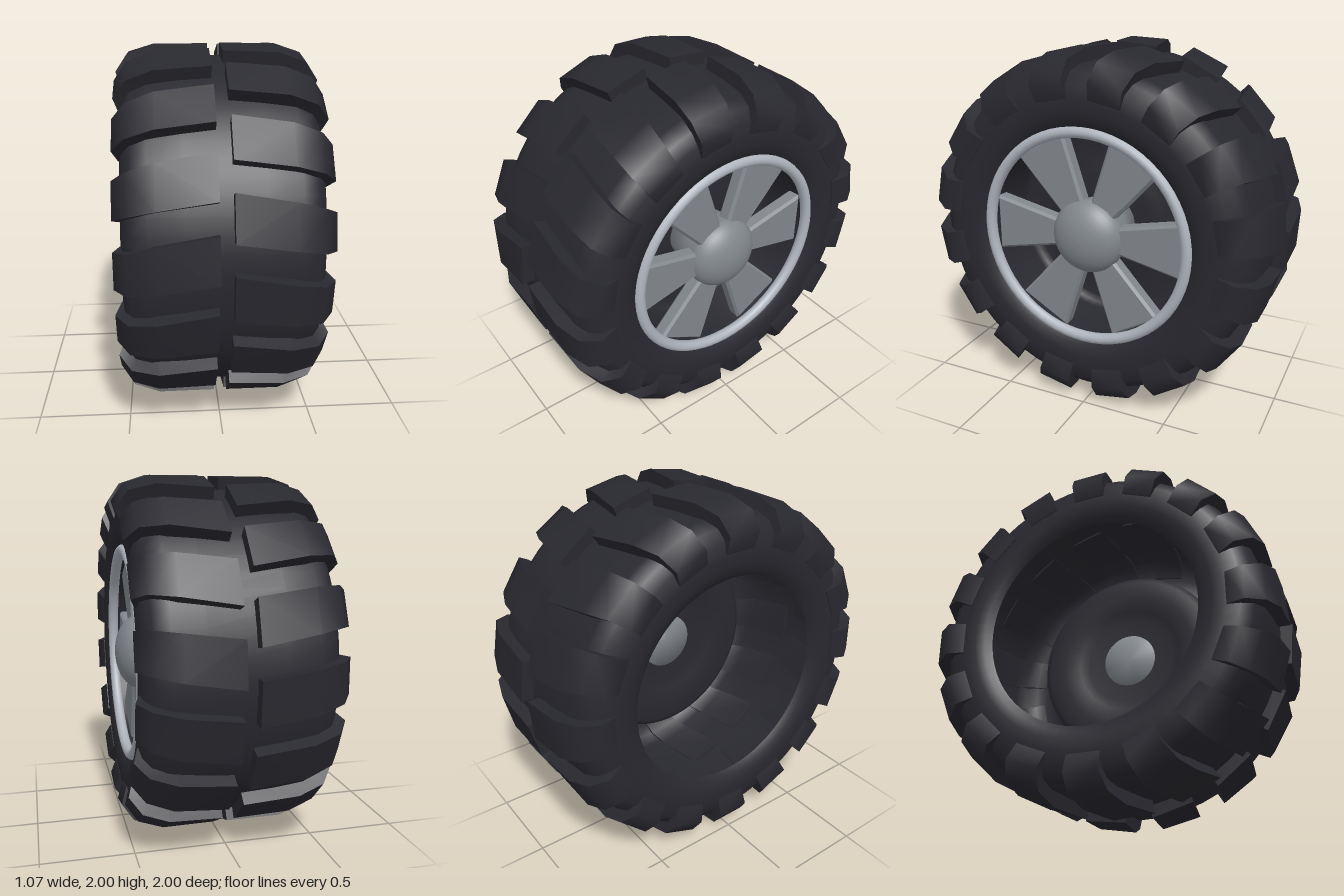
import * as THREE from 'three';
import { toCreasedNormals } from 'three/addons/utils/BufferGeometryUtils.js';

const rubber = new THREE.MeshStandardMaterial({ color: 0x28282f, side: THREE.DoubleSide });
rubber.name = 'dark rubber';
const steel = new THREE.MeshStandardMaterial({ color: 0x82878c });
steel.name = 'grey steel';
const chrome = new THREE.MeshStandardMaterial({ color: 0xaeb3bc });
chrome.name = 'bright rim';

const DEG = Math.PI / 180;
const LUGS = 16;

// Lathe around the x axle; points are [x, radius]
function axleLathe(points, segments = 64) {
  const g = new THREE.LatheGeometry(points.map(([x, r]) => new THREE.Vector2(r, x)), segments);
  return g.rotateZ(-Math.PI / 2);
}

// One tread lug wrapping from the centre groove over the shoulder.
// Stations: [outer x, outer radius, inner x, inner radius, angle, half width]
function lugGeometry(side) {
  const stations = [
    [0.035, 1.0, 0.035, 0.928, 5, 6.8],
    [0.33, 1.0, 0.33, 0.922, 2.4, 6.5],
    [0.47, 0.955, 0.43, 0.885, 0.8, 6.3],
    [0.535, 0.86, 0.475, 0.83, 0, 6.3],
    [0.505, 0.765, 0.49, 0.765, 0, 6.8],
  ];
  const rings = stations.map(([xo, ro, xi, ri, a, w]) =>
    [[xo, ro, a - w], [xo, ro, a + w], [xi, ri, a + w], [xi, ri, a - w]].map(([x, r, t]) =>
      [side * x, r * Math.sin(t * DEG), r * Math.cos(t * DEG)]));
  const pos = [];
  const quad = (a, b, c, d) => {
    const corners = side > 0 ? [a, b, c, a, c, d] : [a, c, b, a, d, c];
    corners.forEach((p) => pos.push(...p));
  };
  for (let i = 0; i < rings.length - 1; i++) {
    for (let k = 0; k < 4; k++) {
      const n = (k + 1) % 4;
      quad(rings[i][k], rings[i + 1][k], rings[i + 1][n], rings[i][n]);
    }
  }
  quad(...rings[0]);
  quad(...rings[rings.length - 1].slice().reverse());
  const g = new THREE.BufferGeometry();
  g.setAttribute('position', new THREE.Float32BufferAttribute(pos, 3));
  return toCreasedNormals(g, 55 * DEG);
}

export function createModel() {
  const model = new THREE.Group();
  model.name = 'wheel';
  const wheel = new THREE.Group();
  wheel.name = 'wheelOnAxle';
  wheel.position.y = 1;
  model.add(wheel);
  const add = (name, geometry, material, parent = wheel) => {
    const mesh = new THREE.Mesh(geometry, material);
    mesh.name = name;
    parent.add(mesh);
    return mesh;
  };

  // Hollow tyre casing, open at both sides
  const half = [[0.455, 0.605], [0.483, 0.64], [0.498, 0.69], [0.502, 0.75],
    [0.49, 0.83], [0.45, 0.89], [0.37, 0.922], [0.2, 0.932]];
  const mirrored = half.map(([x, r]) => [-x, r]);
  add('tyreCasing', axleLathe([...mirrored, ...half.slice().reverse()]), rubber);

  // Two rows of lugs, staggered by half a pitch
  for (const side of [1, -1]) {
    const row = new THREE.Group();
    row.name = side > 0 ? 'leftTread' : 'rightTread';
    wheel.add(row);
    const geometry = lugGeometry(side);
    for (let i = 0; i < LUGS; i++) {
      const step = i + (side > 0 ? 0.5 : 0);
      add('treadLug', geometry, rubber, row).rotation.x = -step * 2 * Math.PI / LUGS;
    }
  }

  // Deep dark dish behind the spokes, with a shallow ringed floor
  add('rimDish', axleLathe([[0.14, 0], [0.14, 0.26], [0.11, 0.32], [0.1, 0.42],
    [0.1, 0.52], [0.12, 0.555], [0.16, 0.565], [0.45, 0.59]]), rubber);

  // Bright ring around the rim
  const ring = new THREE.TorusGeometry(0.588, 0.031, 12, 64).rotateY(Math.PI / 2);
  add('rimRing', ring, chrome).position.x = 0.46;

  // Six flared spokes with bevelled edges
  const outline = new THREE.Shape([[0.12, -0.05], [0.555, -0.145], [0.555, 0.145], [0.12, 0.05]]
    .map(([u, v]) => new THREE.Vector2(u, v)));
  const spoke = new THREE.ExtrudeGeometry(outline, {
    depth: 0.06, bevelEnabled: true, bevelSize: 0.015, bevelThickness: 0.015, bevelSegments: 1,
  }).rotateY(Math.PI / 2);
  const spokes = new THREE.Group();
  spokes.name = 'spokes';
  spokes.position.x = 0.345;
  wheel.add(spokes);
  for (let i = 0; i < 6; i++) add('spoke', spoke, steel, spokes).rotation.x = i * Math.PI / 3;

  // Domed hub
  const hub = [[0.13, 0.0], [0.13, 0.16], [0.3, 0.19], [0.39, 0.21]];
  for (let i = 1; i <= 10; i++) {
    const a = (i / 10) * Math.PI / 2;
    hub.push([0.39 + 0.13 * Math.sin(a), Math.max(0, 0.21 * Math.cos(a))]);
  }
  add('hub', axleLathe(hub, 40), steel);

  return model;
}
